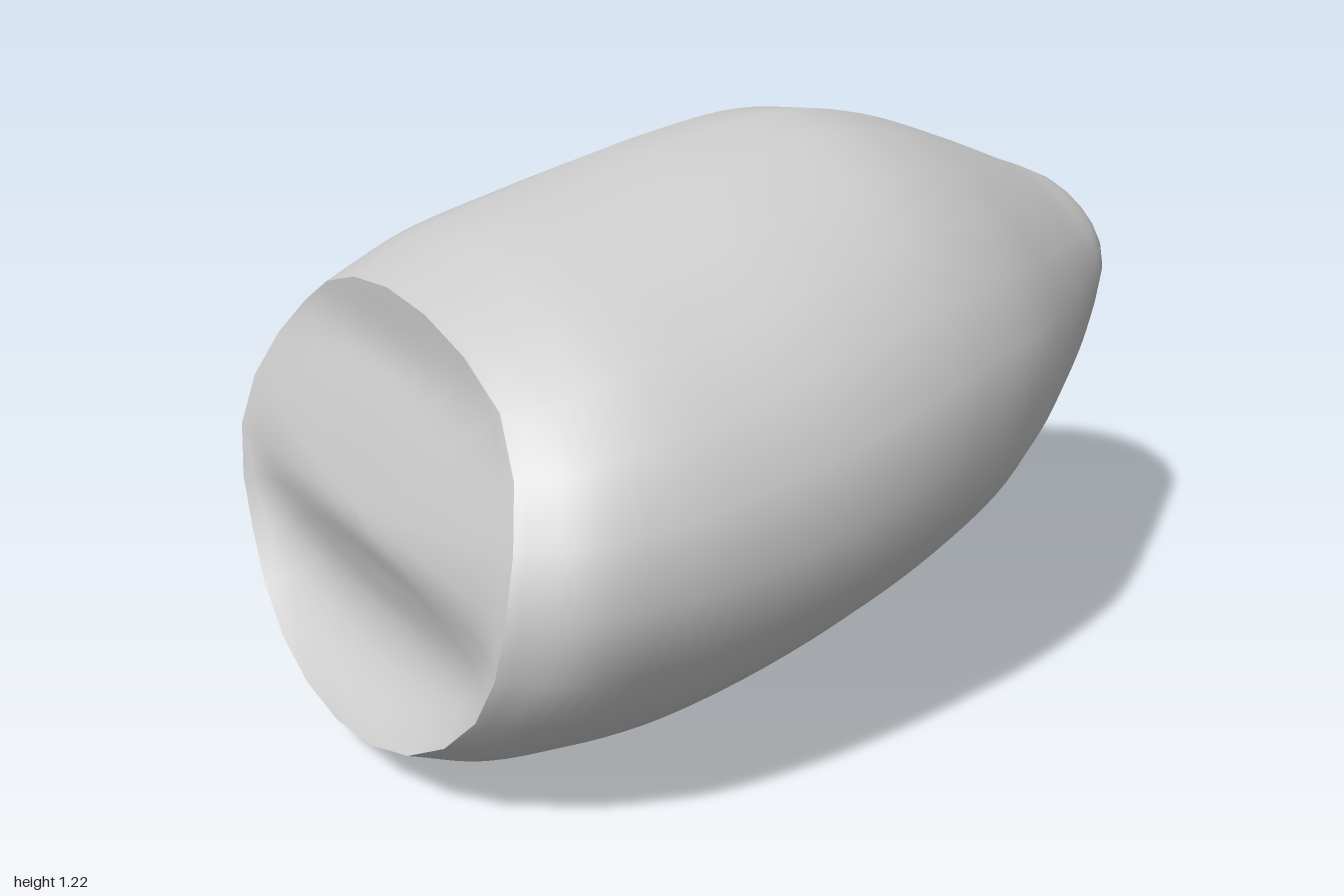
import * as THREE from 'three';

const SIDES = 24;

// Surface through closed rings of points, with smooth normals
function loft(name, rings) {
  const pos = [], index = [];
  rings.forEach(r => r.forEach(p => pos.push(p.x, p.y, p.z)));
  for (let i = 0; i < rings.length - 1; i++) {
    for (let j = 0; j < SIDES; j++) {
      const k = (j + 1) % SIDES;
      const a = i * SIDES + j, b = i * SIDES + k, c = b + SIDES, d = a + SIDES;
      index.push(a, b, d, b, c, d);
    }
  }
  const geo = new THREE.BufferGeometry();
  geo.setAttribute('position', new THREE.Float32BufferAttribute(pos, 3));
  geo.setIndex(index);
  geo.computeVertexNormals();
  const mesh = new THREE.Mesh(geo, new THREE.MeshStandardMaterial({ color: 0xcccccc, side: THREE.DoubleSide }));
  mesh.name = name;
  return mesh;
}

// Depth z at height y along a profile of [y, z] points, eased by Catmull-Rom
function depthAt(profile, y) {
  const last = profile.length - 1;
  let i = 0;
  while (i < last - 1 && y > profile[i + 1][0]) i++;
  const slope = n => {
    const a = profile[Math.max(n - 1, 0)], b = profile[Math.min(n + 1, last)];
    return (b[1] - a[1]) / (b[0] - a[0]);
  };
  const [y0, z0] = profile[i], [y1, z1] = profile[i + 1];
  const h = y1 - y0, t = THREE.MathUtils.clamp((y - y0) / h, 0, 1), u = 1 - t;
  return z0 * u * u * (1 + 2 * t) + z1 * t * t * (3 - 2 * t) + h * t * u * (u * slope(i) - t * slope(i + 1));
}

// Rim of the cut front, and the dished middle of the face inside it
const RIM = [[0.08, 1], [0.3, 0.952], [0.5, 0.93], [0.62, 0.9], [0.72, 0.865], [0.83, 0.825], [0.975, 0.83]];
const DISH = [[0.08, 1], [0.14, 0.93], [0.21, 0.89], [0.3, 0.877], [0.4, 0.9], [0.5, 0.93],
  [0.62, 0.9], [0.72, 0.865], [0.83, 0.825], [0.975, 0.83]];

// Egg-shaped section, slightly slimmer on its diagonals
function sectionPoint(angle, z, top, bottom, halfWidth, mid, centreX = 0, pinch = 0.03) {
  const r = 1 - pinch * Math.sin(2 * angle) ** 2, s = r * Math.sin(angle);
  return new THREE.Vector3(centreX + halfWidth * r * Math.cos(angle), mid + s * (s > 0 ? top - mid : mid - bottom), z);
}

// Body stations from the rounded back forwards: z, top, bottom, half width, widest height, centre x
const STATIONS = [
  [-1, 0.82, 0.82, 0, 0.82, -0.03],
  [-0.994, 0.862, 0.78, 0.075, 0.82, -0.03],
  [-0.97, 0.918, 0.715, 0.16, 0.815, -0.03],
  [-0.91, 0.975, 0.6, 0.255, 0.8, -0.03],
  [-0.79, 1.025, 0.44, 0.355, 0.765, -0.035],
  [-0.6, 1.1, 0.33, 0.475, 0.73, -0.02],
  [-0.35, 1.185, 0.225, 0.618, 0.69, -0.005],
  [-0.13, 1.22, 0.148, 0.685, 0.66, 0.008],
  [0.12, 1.188, 0.083, 0.737, 0.61, 0.008],
  [0.4, 1.12, 0.024, 0.76, 0.56],
  [0.62, 1.06, 0, 0.75, 0.54],
];

export function createModel() {
  const group = new THREE.Group();
  group.name = 'roundedShell';
  const angles = Array.from({ length: SIDES }, (_, j) => (j / SIDES) * Math.PI * 2);
  const rimPoint = (a, k = 1) => sectionPoint(a, 0, 0.525 + 0.45 * k, 0.525 - 0.445 * k, 0.62 * k, 0.525, 0, 0);

  // Body: one smooth lengthwise curve per angle, ending on the slanted rim
  const curves = angles.map(a => {
    const pts = STATIONS.map(s => sectionPoint(a, ...s));
    const rim = rimPoint(a);
    rim.z = depthAt(RIM, rim.y);
    pts.push(sectionPoint(a, 0.62 + (rim.z - 0.62) * 0.6, 1.01, 0.018, 0.71, 0.53), rim);
    return new THREE.CatmullRomCurve3(pts, false, 'centripetal');
  });
  const steps = 60;
  const rings = Array.from({ length: steps + 1 }, (_, i) => curves.map(c => c.getPoint(i / steps)));
  group.add(loft('body', rings));

  // Front face: meets the rim, then eases into the dish
  const face = [];
  for (let i = 0; i <= 20; i++) {
    const k = 1 - i / 20;
    face.push(angles.map(a => {
      const p = rimPoint(a, k);
      p.z = THREE.MathUtils.lerp(depthAt(DISH, p.y), depthAt(RIM, p.y), k ** 8);
      return p;
    }));
  }
  group.add(loft('frontFace', face));
  return group;
}
